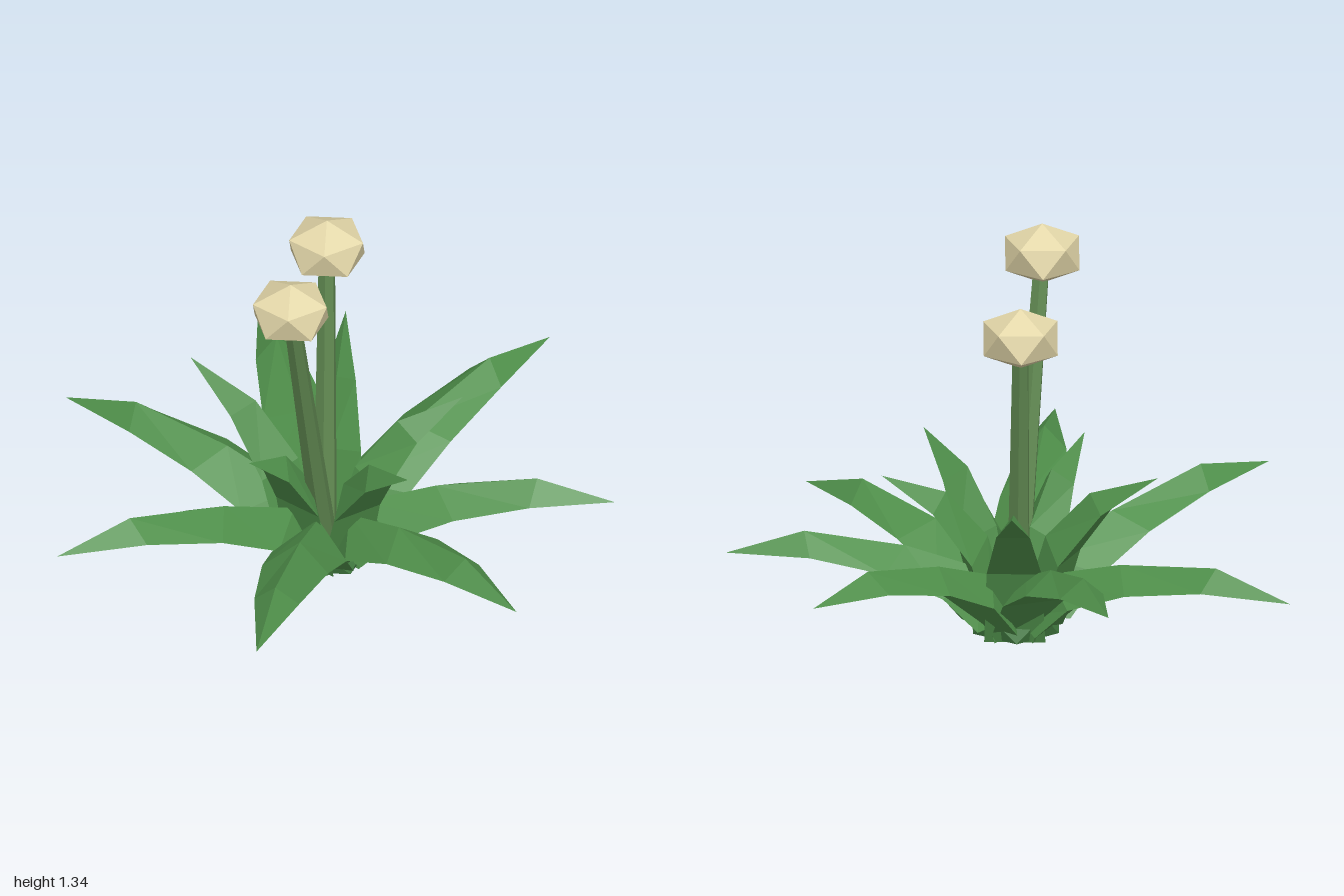
import * as THREE from 'three';

const mat = (color) => new THREE.MeshStandardMaterial({ color, flatShading: true });
const leafMat = mat(0x4f8f4a), stemMat = mat(0x5f8750), headMat = mat(0xe2d6a8), coreMat = mat(0x417a40);
const CX = -0.025, CZ = 0.02; // middle of the rosette

// Leaf sections: [edge radius, edge height, half width, ridge radius, ridge height]; the last is the tip
const OUTER = [
  [0.13, 0.10, 0.12, 0.00, 0.10],
  [0.25, 0.23, 0.125, 0.12, 0.28],
  [0.45, 0.33, 0.11, 0.38, 0.385],
  [0.71, 0.40, 0.075, 0.73, 0.47],
  [1.00, 0.42, 0, 1.00, 0.42],
];
const INNER = [
  [0.10, 0.05, 0.10, 0.00, 0.05],
  [0.18, 0.32, 0.09, 0.10, 0.39],
  [0.31, 0.50, 0.055, 0.25, 0.555],
  [0.48, 0.63, 0, 0.48, 0.63],
];

// Three-sided tapering leaf: ridge on top, flat underside, reaching the given tip
function makeLeaf(name, sections, [tx, ty, tz]) {
  const last = sections[sections.length - 1];
  const dx = tx - CX, dz = tz - CZ;
  const stretch = Math.hypot(dx, dz) / last[0];
  const lift = ty - last[1];
  const pos = [], index = [];
  for (const [er, ey, w, rr, ry] of sections) {
    const e = ey + lift * er / last[0], r = ry + lift * rr / last[0];
    pos.push(er * stretch, e, -w, rr * stretch, r, 0, er * stretch, e, w);
  }
  for (let i = 0; i < sections.length - 1; i++) {
    for (let k = 0; k < 3; k++) {
      const a = i * 3 + k, b = i * 3 + (k + 1) % 3;
      index.push(a, b, b + 3);
      if (i < sections.length - 2) index.push(a, b + 3, a + 3);
    }
  }
  index.push(2, 1, 0);
  let geo = new THREE.BufferGeometry();
  geo.setAttribute('position', new THREE.Float32BufferAttribute(pos, 3));
  geo.setIndex(index);
  geo = geo.toNonIndexed();
  geo.computeVertexNormals();
  const mesh = new THREE.Mesh(geo, leafMat);
  mesh.name = name;
  mesh.position.set(CX, 0, CZ);
  mesh.rotation.y = -Math.atan2(dz, dx);
  return mesh;
}

// Squashed icosahedron standing on a corner
function makeBall(name, radius, halfHeight, material) {
  const geo = new THREE.IcosahedronGeometry(1, 0);
  geo.rotateZ(-Math.atan(2 / (1 + Math.sqrt(5))));
  geo.scale(radius, halfHeight, radius);
  geo.computeVertexNormals();
  const mesh = new THREE.Mesh(geo, material);
  mesh.name = name;
  return mesh;
}

// Straight tapering stem with a faceted flower head
function makeFlower(foot, head) {
  const flower = new THREE.Group();
  flower.name = 'flower';
  const a = new THREE.Vector3(...foot), b = new THREE.Vector3(...head);
  const dir = b.clone().sub(a);
  const stem = new THREE.Mesh(new THREE.CylinderGeometry(0.028, 0.042, dir.length(), 6), stemMat);
  stem.name = 'stem';
  stem.position.copy(a).add(b).multiplyScalar(0.5);
  stem.quaternion.setFromUnitVectors(new THREE.Vector3(0, 1, 0), dir.normalize());
  const ball = makeBall('flowerHead', 0.142, 0.103, headMat);
  ball.position.copy(b);
  flower.add(stem, ball);
  return flower;
}

export function createModel() {
  const plant = new THREE.Group();
  plant.name = 'rosettePlant';

  // Base core
  const core = makeBall('baseCore', 0.165, 0.095, coreMat);
  core.position.set(CX, 0.1, CZ);
  plant.add(core);

  // Spreading outer leaves
  const outerTips = [
    [0.99, 0.42, 0.12], [0.51, 0.32, 0.80], [-0.18, 0.32, 0.96], [-1.0, 0.41, 0.54],
    [-1.0, 0.41, -0.31], [-0.17, 0.31, -0.97], [0.51, 0.42, -0.72],
  ];
  for (const tip of outerTips) plant.add(makeLeaf('outerLeaf', OUTER, tip));

  // Upright inner leaves
  const innerTips = [
    [0.43, 0.64, -0.28], [0.31, 0.63, 0.32], [-0.16, 0.62, 0.48], [-0.42, 0.62, 0.02], [-0.12, 0.66, -0.48],
  ];
  for (const tip of innerTips) plant.add(makeLeaf('innerLeaf', INNER, tip));

  // Two flowers
  plant.add(makeFlower([-0.04, 0.1, 0.03], [-0.35, 1.24, 0.14]));
  plant.add(makeFlower([-0.01, 0.1, 0.0], [0.12, 1.14, -0.10]));
  return plant;
}
